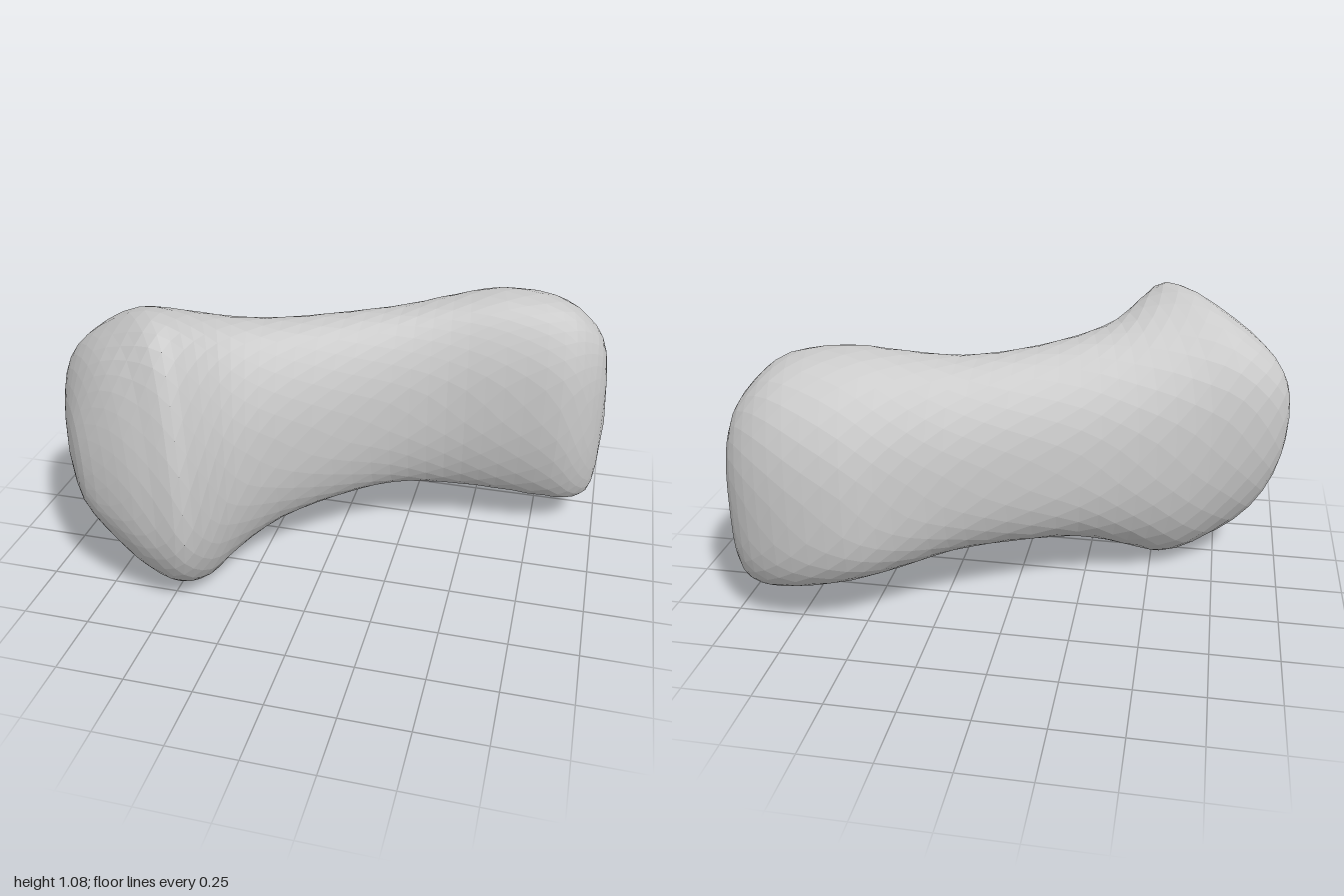
import * as THREE from 'three';

// Cross-sections from the large head to the small head:
// back edge (x, z), front edge (x, z), bottom y, top y, rise of the front edge, forward lean of the crown
const SECTIONS = [
  [-0.89, 0.47, -0.89, 0.47, 0.54, 0.54, 0, 0],
  [-0.965, 0.33, -0.78, 0.585, 0.36, 0.72, -0.05, 0],
  [-1.0, 0.20, -0.61, 0.655, 0.22, 0.89, -0.08, 0.1],
  [-0.95, 0.10, -0.48, 0.675, 0.10, 1.0, -0.09, 0.2],
  [-0.82, 0.01, -0.38, 0.665, 0.025, 1.075, -0.08, 0.25],
  [-0.65, -0.06, -0.32, 0.56, 0.0, 1.04, -0.05, 0.2],
  [-0.45, -0.145, -0.26, 0.45, 0.08, 0.98, -0.02, 0.12],
  [-0.25, -0.24, -0.15, 0.325, 0.16, 0.945, 0, 0.1],
  [0.0, -0.38, 0.02, 0.17, 0.2, 0.93, 0, 0.1],
  [0.2, -0.49, 0.21, 0.03, 0.21, 0.935, 0.02, 0.15],
  [0.36, -0.59, 0.41, -0.06, 0.18, 0.965, 0.04, 0.25],
  [0.51, -0.67, 0.62, -0.105, 0.15, 0.99, 0.06, 0.3],
  [0.7, -0.683, 0.83, -0.15, 0.12, 0.965, 0.07, 0.25],
  [0.87, -0.635, 0.925, -0.225, 0.11, 0.88, 0.05, 0.2],
  [0.97, -0.55, 0.98, -0.32, 0.17, 0.74, 0.02, 0.15],
  [1.0, -0.44, 1.0, -0.44, 0.43, 0.43, 0, 0],
];
const RINGS = 45, SIDES = 28, UNDERSIDE_LEAN = 0.12;

const curve = (pick) => new THREE.CatmullRomCurve3(
  SECTIONS.map((s) => new THREE.Vector3(...pick(s))), false, 'catmullrom', 0.5);

// Slightly squared ellipse
const squared = (v, power) => Math.sign(v) * Math.abs(v) ** power;

function boneGeometry() {
  const back = curve((s) => [s[0], s[7], s[1]]); // y carries the crown lean
  const front = curve((s) => [s[2], 0, s[3]]);
  const height = curve((s) => [s[4], s[5], s[6]]);
  const positions = [], index = [];

  for (let i = 0; i <= RINGS; i++) {
    const t = i / RINGS;
    const b = back.getPoint(t), f = front.getPoint(t), h = height.getPoint(t);
    // The section grows boxier towards the small head
    const power = THREE.MathUtils.lerp(0.92, 0.76, t);
    for (let j = 0; j < SIDES; j++) {
      // Stagger alternate rings for an organic facet pattern
      const a = ((j + (i % 2) * 0.5) / SIDES) * Math.PI * 2;
      const u = squared(Math.cos(a), power);
      const v = squared(Math.sin(a), power);
      const lean = (v > 0 ? b.y : UNDERSIDE_LEAN) * (1 - u * u) * v * v;
      const p = b.clone().lerp(f, (Math.min(u + lean, 1) + 1) / 2);
      const y = (h.x + h.y) / 2 + v * (h.y - h.x) / 2 + h.z * u * (1 - v * v);
      positions.push(p.x, y, p.z);
    }
  }
  for (let i = 0; i < RINGS; i++) {
    for (let j = 0; j < SIDES; j++) {
      const k = (j + 1) % SIDES;
      const p = i * SIDES + j, q = i * SIDES + k;
      const r = p + SIDES, s = q + SIDES;
      // Diagonals follow the stagger
      if (i % 2) index.push(p, r, s, p, s, q);
      else index.push(p, r, q, r, s, q);
    }
  }
  const geometry = new THREE.BufferGeometry();
  geometry.setAttribute('position', new THREE.Float32BufferAttribute(positions, 3));
  geometry.setIndex(index);
  geometry.computeVertexNormals();
  return geometry;
}

export function createModel() {
  const group = new THREE.Group();
  group.name = 'bone';
  // Shaft with both flared heads in one continuous skin
  const bone = new THREE.Mesh(
    boneGeometry(),
    new THREE.MeshStandardMaterial({ color: 0xcccccc, flatShading: true }));
  bone.name = 'boneShaftAndHeads';
  group.add(bone);
  return group;
}
